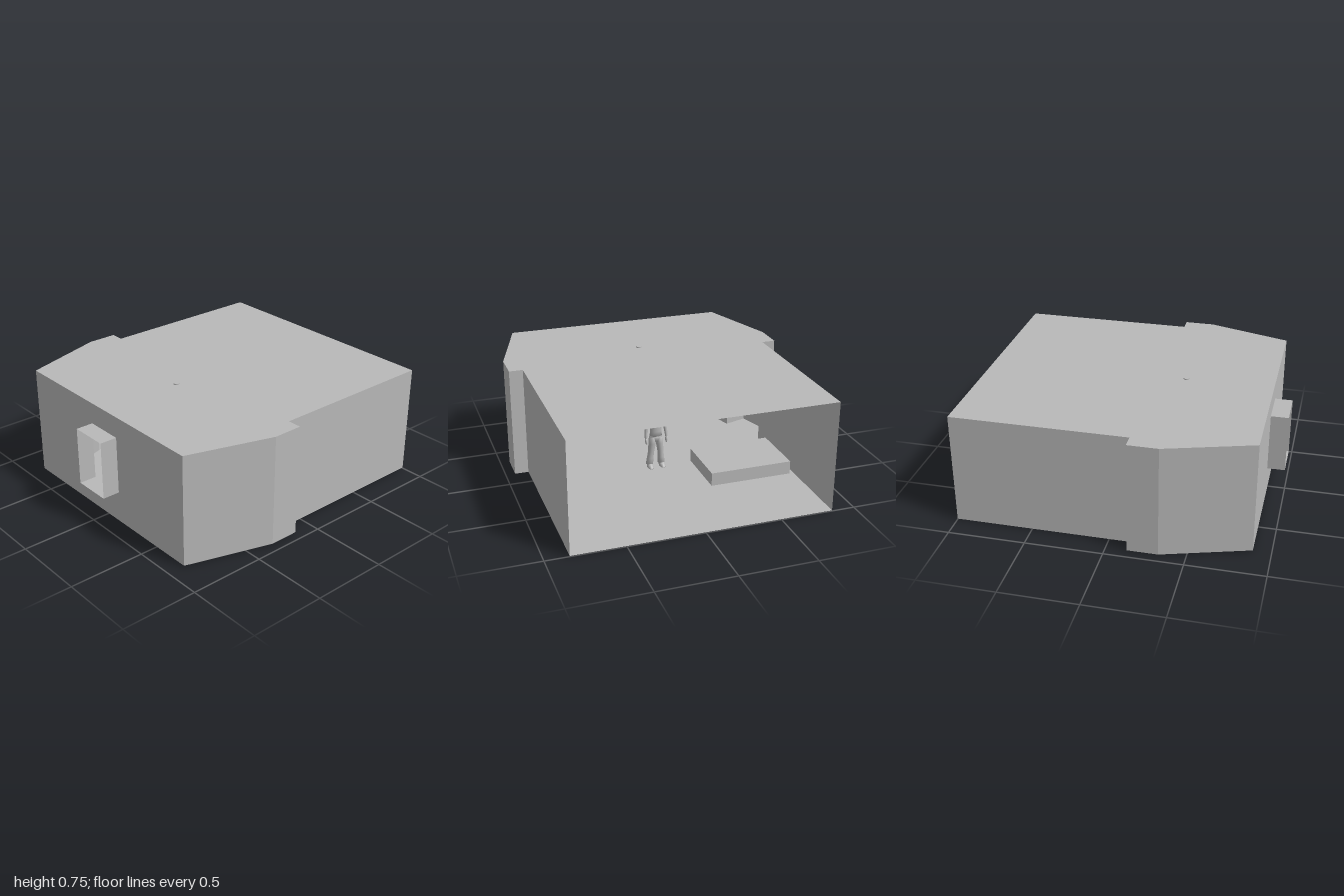
import * as THREE from 'three';

const grey = new THREE.MeshStandardMaterial({ color: 0xb8b8b8, side: THREE.DoubleSide });
grey.name = 'plain grey';

const FLOOR = 0.004, CEIL = 0.742, BACK = -0.885, SIDE = 0.765;

function add(parent, name, geo, x = 0, y = 0, z = 0) {
  const m = new THREE.Mesh(geo, grey);
  m.name = name;
  m.position.set(x, y, z);
  parent.add(m);
  return m;
}

// Box given by its low and high corners
function block(parent, name, [x0, y0, z0], [x1, y1, z1]) {
  return add(parent, name, new THREE.BoxGeometry(x1 - x0, y1 - y0, z1 - z0),
    (x0 + x1) / 2, (y0 + y1) / 2, (z0 + z1) / 2);
}

// Smooth skin through elliptical rings [y, centreX, centreZ, radiusX, radiusZ], bottom to top
function loft(rings, n = 16) {
  const pos = [], idx = [];
  const closed = [[...rings[0].slice(0, 3), 0, 0], ...rings, [...rings.at(-1).slice(0, 3), 0, 0]];
  closed.forEach(([y, cx, cz, rx, rz], i) => {
    for (let j = 0; j < n; j++) {
      const a = j / n * Math.PI * 2;
      pos.push(cx + rx * Math.cos(a), y, cz + rz * Math.sin(a));
      if (i === closed.length - 1) continue;
      const p = i * n + j, q = i * n + (j + 1) % n;
      idx.push(p, p + n, q, q, p + n, q + n);
    }
  });
  const g = new THREE.BufferGeometry();
  g.setAttribute('position', new THREE.Float32BufferAttribute(pos, 3));
  g.setIndex(idx);
  g.computeVertexNormals();
  return g;
}

// Thin shell of the room, open at +x, with a window recess at -x
function buildRoom() {
  const room = new THREE.Group();
  room.name = 'room';
  const half = [[BACK, SIDE], [-0.33, 0.938], [-0.135, 0.938], [-0.135, 0.847], [1, 0.847]];
  const outline = [...half, ...half.map(([x, z]) => [x, -z]).reverse()];
  const plan = new THREE.Shape(outline.map(p => new THREE.Vector2(...p)));
  for (const [name, y] of [['floor', FLOOR], ['ceiling', CEIL]]) {
    const g = new THREE.ShapeGeometry(plan).rotateX(name === 'floor' ? Math.PI / 2 : Math.PI / 2);
    add(room, name, g, 0, y, 0);
  }
  const h = CEIL - FLOOR;
  for (const s of [1, -1]) {
    for (let i = 0; i < half.length - 1; i++) {
      const [xa, za] = half[i], [xb, zb] = half[i + 1];
      const w = add(room, 'sideWall', new THREE.PlaneGeometry(Math.hypot(xb - xa, zb - za), h),
        (xa + xb) / 2, (CEIL + FLOOR) / 2, s * (za + zb) / 2);
      w.rotation.y = Math.atan2(-s * (zb - za), xb - xa);
    }
  }
  // Back wall with the window hole
  const [y0, y1, z0, z1] = [0.215, 0.6, -0.127, 0.127];
  const rect = (C, a, b, c, d) => new C([[a, c], [b, c], [b, d], [a, d]].map(p => new THREE.Vector2(...p)));
  const wall = rect(THREE.Shape, -SIDE, SIDE, FLOOR, CEIL);
  wall.holes.push(rect(THREE.Path, z0, z1, y0, y1));
  add(room, 'backWall', new THREE.ShapeGeometry(wall).rotateY(-Math.PI / 2), BACK, 0, 0);
  // Window recess, open at both ends
  const depth = 1 + BACK, xm = (BACK - 1) / 2;
  for (const z of [z0, z1])
    add(room, 'windowJamb', new THREE.PlaneGeometry(depth, y1 - y0), xm, (y0 + y1) / 2, z);
  for (const y of [y0, y1])
    add(room, 'windowSill', new THREE.PlaneGeometry(depth, z1 - z0).rotateX(-Math.PI / 2), xm, y, 0);
  return room;
}

// Box standing against the slanted wall on side s, from a0 to a1 along it
function slantBlock(parent, name, s, a0, a1, depth, y0, y1) {
  const t = Math.atan2(0.938 - SIDE, -0.33 - BACK), a = (a0 + a1) / 2, d = depth / 2;
  const m = add(parent, name, new THREE.BoxGeometry(a1 - a0, y1 - y0, depth),
    BACK + a * Math.cos(t) + d * Math.sin(t), (y0 + y1) / 2,
    s * (SIDE + a * Math.sin(t) - d * Math.cos(t)));
  m.rotation.y = -s * t;
}

function buildFurniture() {
  const f = new THREE.Group();
  f.name = 'furniture';
  slantBlock(f, 'deskTop', 1, 0.003, 0.46, 0.194, 0.19, 0.215);
  slantBlock(f, 'deskPedestal', 1, 0.065, 0.18, 0.194, FLOOR, 0.19);
  slantBlock(f, 'cornerBench', -1, 0.003, 0.41, 0.163, FLOOR, 0.145);
  block(f, 'windowSeat', [BACK + 0.002, FLOOR, -0.28], [-0.67, 0.145, 0.28]);
  block(f, 'bed', [0.05, FLOOR, -0.818], [0.45, 0.094, -0.253]);
  return f;
}

function buildFan() {
  const fan = new THREE.Group();
  fan.name = 'ceilingFan';
  fan.position.set(-0.312, 0, 0);
  add(fan, 'fanRod', new THREE.CylinderGeometry(0.019, 0.019, 0.05, 20), 0, 0.724, 0);
  const profile = [[0, 0.655], [0.022, 0.656], [0.034, 0.664], [0.044, 0.672], [0.044, 0.678],
    [0.028, 0.682], [0.024, 0.705], [0, 0.705]];
  add(fan, 'fanMotor', new THREE.LatheGeometry(profile.map(p => new THREE.Vector2(...p)), 24));
  for (let i = 0; i < 3; i++) {
    const arm = new THREE.Group();
    arm.name = 'fanArm';
    arm.rotation.y = i * Math.PI * 2 / 3;
    block(arm, 'fanBracket', [-0.015, 0.69, 0.01], [0.015, 0.7, 0.09]);
    block(arm, 'fanBlade', [-0.045, 0.692, 0.07], [0.045, 0.702, 0.315]);
    fan.add(arm);
  }
  return fan;
}

// Standing figure, facing +x
function buildPerson() {
  const p = new THREE.Group();
  p.name = 'person';
  p.position.set(0.05, 0, 0);
  add(p, 'shirt', loft([[0.235, 0, 0, 0.03, 0.043], [0.27, 0, 0, 0.03, 0.04], [0.32, 0.002, 0, 0.033, 0.043],
    [0.36, 0, 0, 0.032, 0.05], [0.38, -0.003, 0, 0.026, 0.05], [0.391, -0.005, 0, 0.018, 0.026]]));
  add(p, 'neck', loft([[0.38, -0.004, 0, 0.015, 0.014], [0.415, 0, 0, 0.014, 0.013]]));
  add(p, 'head', loft([[0.396, 0.012, 0, 0.01, 0.008], [0.408, 0.006, 0, 0.02, 0.017],
    [0.43, 0.003, 0, 0.027, 0.023], [0.447, 0, 0, 0.027, 0.023], [0.458, -0.001, 0, 0.019, 0.016],
    [0.463, -0.001, 0, 0.008, 0.007]]));
  add(p, 'hips', loft([[0.195, 0, 0, 0.024, 0.03], [0.22, 0, 0, 0.031, 0.045], [0.245, 0, 0, 0.028, 0.041]]));
  for (const s of [1, -1]) {
    add(p, 'trouserLeg', loft([[0.025, -0.008, s * 0.042, 0.025, 0.025], [0.07, -0.006, s * 0.038, 0.023, 0.022],
      [0.12, 0, s * 0.033, 0.022, 0.021], [0.18, 0, s * 0.026, 0.028, 0.025], [0.225, 0, s * 0.023, 0.029, 0.024]]));
    add(p, 'shoe', loft([[0, 0.008, s * 0.043, 0.042, 0.019], [0.012, 0.008, s * 0.043, 0.043, 0.02],
      [0.024, -0.002, s * 0.042, 0.03, 0.017], [0.035, -0.01, s * 0.042, 0.018, 0.015]]));
    add(p, 'sleeve', loft([[0.308, -0.002, s * 0.063, 0.019, 0.017], [0.34, -0.002, s * 0.058, 0.02, 0.017],
      [0.37, -0.003, s * 0.049, 0.02, 0.015], [0.385, -0.004, s * 0.04, 0.013, 0.013]]));
    add(p, 'forearm', loft([[0.215, 0.01, s * 0.073, 0.009, 0.007], [0.25, 0.004, s * 0.071, 0.012, 0.01],
      [0.285, 0, s * 0.067, 0.013, 0.012], [0.32, -0.002, s * 0.062, 0.014, 0.013]]));
    add(p, 'hand', loft([[0.182, 0.014, s * 0.07, 0.007, 0.005], [0.2, 0.013, s * 0.072, 0.014, 0.008],
      [0.222, 0.01, s * 0.073, 0.009, 0.007]]));
  }
  return p;
}

export function createModel() {
  const model = new THREE.Group();
  model.name = 'furnishedRoom';
  model.add(buildRoom(), buildFurniture(), buildFan(), buildPerson());
  return model;
}
